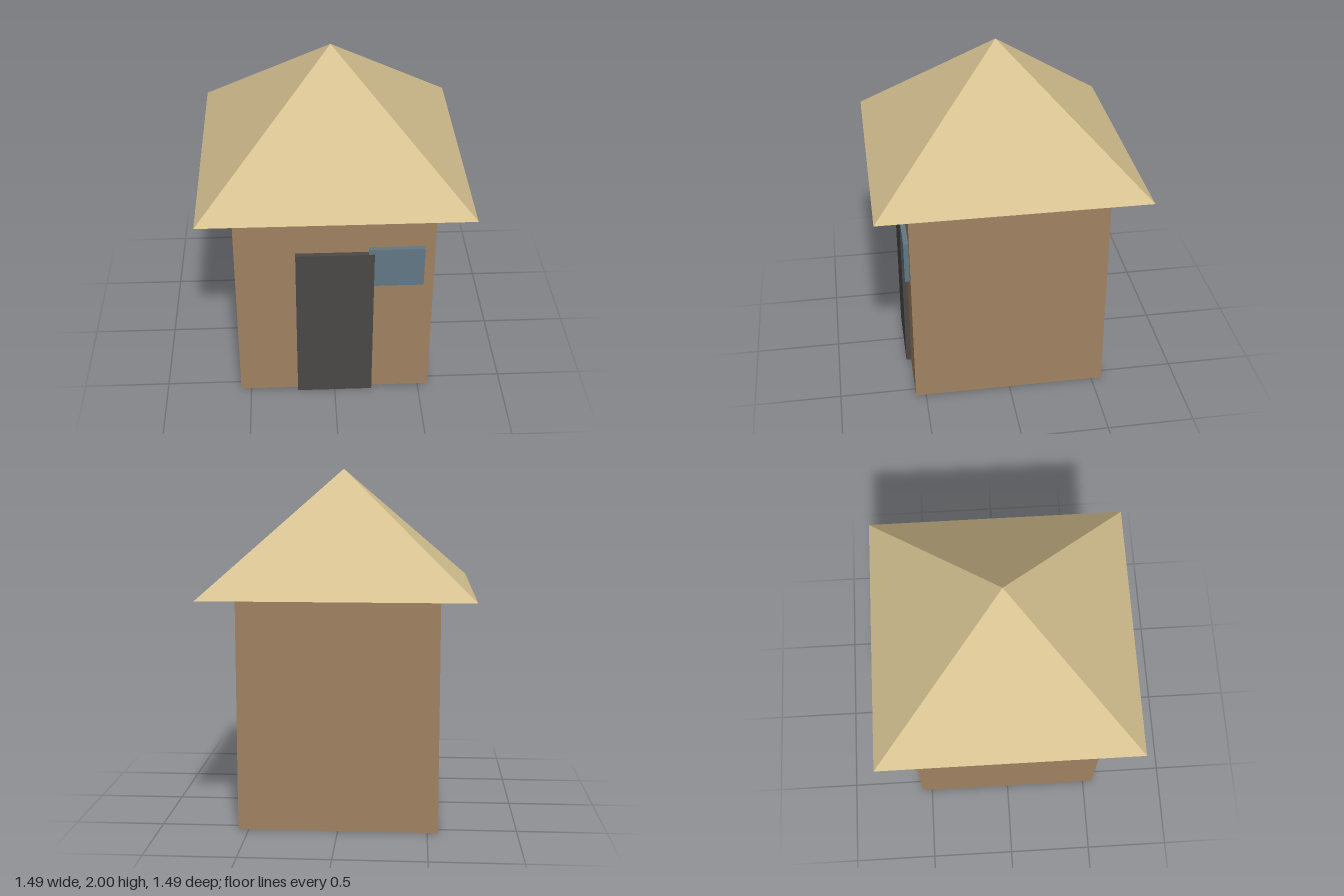
import * as THREE from 'three';

const material = (name, color) => {
  const m = new THREE.MeshStandardMaterial({ color });
  m.name = name;
  return m;
};

export function createModel() {
  const group = new THREE.Group();
  group.name = 'hut';
  const wall = material('wall brown', 0xa08262);
  const thatch = material('thatch straw', 0xd4c08f);
  const wood = material('dark door', 0x4b4846);
  const glass = material('window blue', 0x627785);

  const add = (name, geometry, mat, x, y, z) => {
    const mesh = new THREE.Mesh(geometry, mat);
    mesh.name = name;
    mesh.position.set(x, y, z);
    group.add(mesh);
  };

  // Square walls
  add('walls', new THREE.BoxGeometry(1.12, 1.32, 1.12), wall, 0, 0.66, 0);

  // Four-sided roof with overhanging eaves, turned square to the walls
  const roof = new THREE.ConeGeometry(0.747 * Math.SQRT2, 0.684, 4).rotateY(Math.PI / 4).toNonIndexed();
  roof.computeVertexNormals();
  add('roof', roof, thatch, 0, 1.658, 0);

  // Door and window stand slightly proud of the front wall
  add('door', new THREE.BoxGeometry(0.44, 1, 0.06), wood, 0, 0.5, 0.559);
  add('window', new THREE.BoxGeometry(0.312, 0.25, 0.06), glass, 0.344, 0.906, 0.558);

  return group;
}
